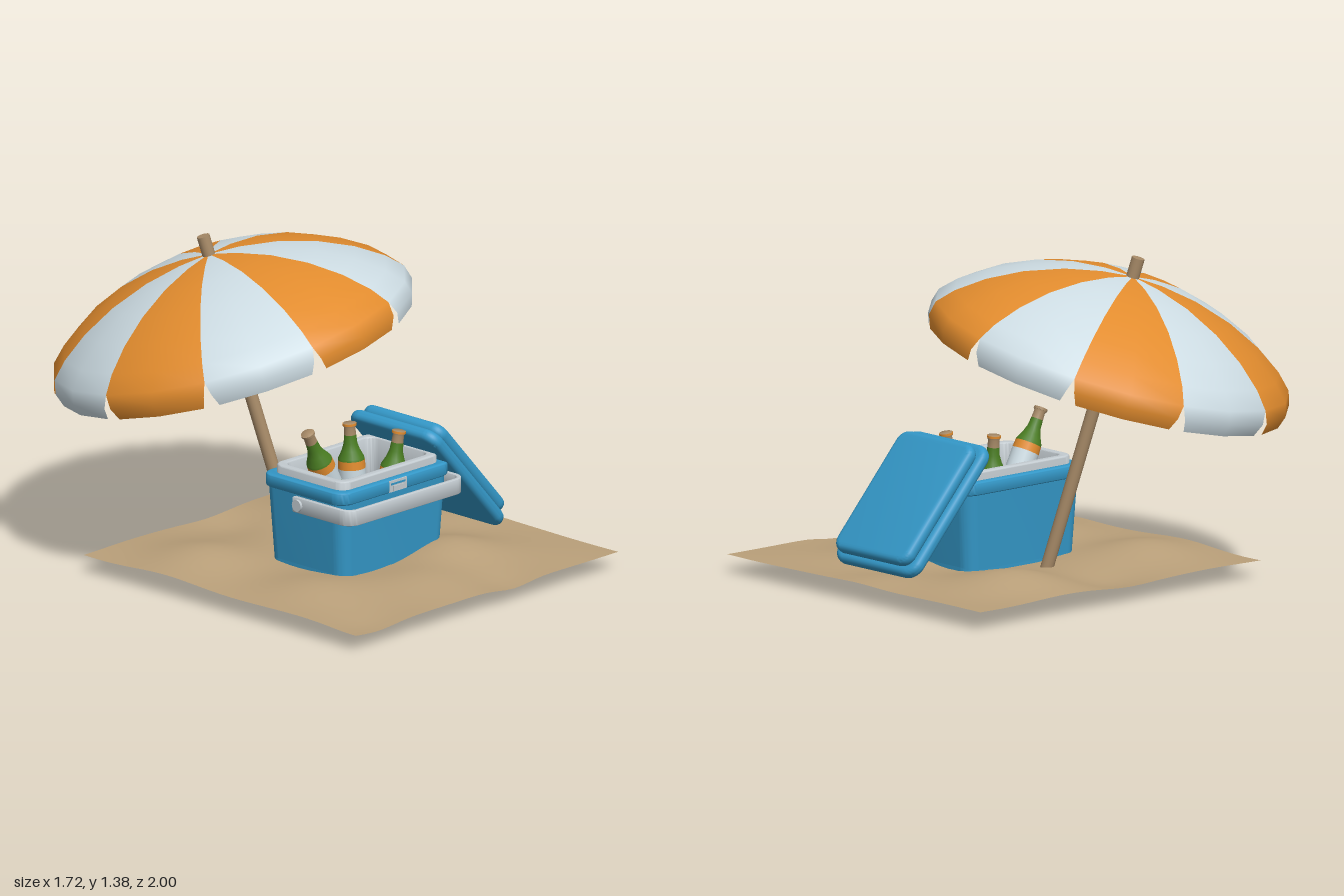
import * as THREE from 'three';
import { toCreasedNormals } from 'three/addons/utils/BufferGeometryUtils.js';

const material = (name, color, side = THREE.FrontSide) => {
  const m = new THREE.MeshStandardMaterial({ color, side });
  m.name = name;
  return m;
};

const V = (x, y, z) => new THREE.Vector3(x, y, z);

function mesh(parent, name, geometry, mat, x = 0, y = 0, z = 0) {
  const m = new THREE.Mesh(geometry, mat);
  m.name = name;
  m.position.set(x, y, z);
  parent.add(m);
  return m;
}

// Rounded rectangle path, used for outlines and holes
function roundedRect(path, w, d, r) {
  const x = w / 2, y = d / 2, q = Math.PI / 2;
  path.moveTo(x, -y + r);
  path.absarc(x - r, y - r, r, 0, q);
  path.absarc(-x + r, y - r, r, q, 2 * q);
  path.absarc(-x + r, -y + r, r, 2 * q, 3 * q);
  path.absarc(x - r, -y + r, r, 3 * q, 4 * q);
  return path;
}

// Upright extrusion of a shape, standing on y = 0, with a rounded edge
function extrudeUp(shape, h, bevel) {
  const g = new THREE.ExtrudeGeometry(shape, {
    depth: h - 2 * bevel, bevelEnabled: bevel > 0, bevelSize: bevel,
    bevelThickness: bevel, bevelOffset: -bevel, bevelSegments: 4, curveSegments: 6,
  });
  g.translate(0, 0, bevel).rotateX(-Math.PI / 2);
  return g;
}

// Rounded slab, optionally hollow, optionally narrower at the bottom
function slab(w, d, h, r, bevel = 0, hole = null, taper = 0) {
  const shape = roundedRect(new THREE.Shape(), w, d, r);
  if (hole) shape.holes.push(roundedRect(new THREE.Path(), hole[0], hole[1], hole[2]));
  const g = extrudeUp(shape, h, bevel);
  const p = g.attributes.position;
  for (let i = 0; i < p.count; i++) {
    const k = taper * (1 - p.getY(i) / h);
    p.setX(i, p.getX(i) * (1 - k));
    p.setZ(i, p.getZ(i) * (1 - k));
  }
  return toCreasedNormals(g, 0.7);
}

export function createModel() {
  const root = new THREE.Group();
  root.name = 'beachPicnic';
  const sand = material('sand', 0xbaa07a, THREE.DoubleSide);
  const wood = material('wood', 0xa88b68);
  const orange = material('orange', 0xe28c2e, THREE.DoubleSide);
  const white = material('paleWhite', 0xcddce3, THREE.DoubleSide);
  const blue = material('blue', 0x3498c8);
  const grey = material('lightGrey', 0xc3cbd0);
  const green = material('bottleGreen', 0x4a7d22);

  // Sand patch with soft mounds: x, z, height, spread
  const mounds = [
    [-0.4, -0.12, 0.06, 0.22], [0.38, 0.53, 0.06, 0.2], [0.42, -0.22, 0.065, 0.22],
    [-0.38, 0.5, 0.035, 0.22], [0.04, 0.7, 0.028, 0.2], [0.08, 0.2, -0.022, 0.2],
    [0.05, -0.4, -0.02, 0.15], [0.25, 0.98, -0.02, 0.12], [-0.55, 0.95, -0.02, 0.15],
    [0.72, 0.2, 0.015, 0.15],
  ];
  const ground = new THREE.PlaneGeometry(1.54, 1.54, 28, 28);
  ground.rotateX(-Math.PI / 2).translate(0.09, 0, 0.23);
  const gp = ground.attributes.position;
  for (let i = 0; i < gp.count; i++) {
    const x = gp.getX(i), z = gp.getZ(i);
    let y = 0.076 + 0.005 * Math.sin(9 * x + 2) * Math.cos(8 * z);
    for (const [mx, mz, h, s] of mounds)
      y += h * Math.exp(-((x - mx) ** 2 + (z - mz) ** 2) / (s * s));
    gp.setY(i, y);
  }
  ground.computeVertexNormals();
  mesh(root, 'sand', ground, sand);

  // Parasol, built upright and then tilted about the pole foot
  const parasol = new THREE.Group();
  parasol.name = 'parasol';
  parasol.position.set(0.072, 0.008, -0.044);
  parasol.quaternion.setFromUnitVectors(V(0, 1, 0), V(-0.26, 1.35, -0.29).normalize());
  root.add(parasol);
  mesh(parasol, 'pole', new THREE.CylinderGeometry(0.027, 0.027, 1.42, 16), wood, 0, 0.71, 0);

  // Ten canopy panels; below the rim each flap narrows, leaving small notches
  const profile = [
    [0.75, 0.927], [0.767, 0.98], [0.752, 1.035], [0.69, 1.1], [0.58, 1.178], [0.44, 1.248],
    [0.28, 1.301], [0.13, 1.329], [0.012, 1.338],
  ].map(([r, h]) => new THREE.Vector2(r, h));
  const step = Math.PI / 5;
  for (let k = 0; k < 10; k++) {
    const start = (k - 0.5) * step;
    const panel = new THREE.LatheGeometry(profile, 2, start, step);
    const p = panel.attributes.position;
    for (const [row, shift] of [[0, 0.045], [1, 0.022]]) {
      for (const [col, sign] of [[0, 1], [2, -1]]) {
        const a = start + col * step / 2 + sign * shift;
        const i = col * profile.length + row;
        p.setX(i, profile[row].x * Math.sin(a));
        p.setZ(i, profile[row].x * Math.cos(a));
      }
    }
    mesh(parasol, 'canopyPanel', panel, k % 2 ? white : orange);
  }

  // Cooler: tapered tub, upper band, pale liner and floor
  const cooler = new THREE.Group();
  cooler.name = 'cooler';
  cooler.position.set(0.09, 0, 0.262);
  root.add(cooler);
  const opening = [0.56, 0.37, 0.04];
  mesh(cooler, 'coolerBase', slab(0.595, 0.41, 0.05, 0.05), blue, 0, 0.07, 0);
  mesh(cooler, 'coolerTub', slab(0.635, 0.45, 0.32, 0.06, 0, opening, 0.065), blue, 0, 0.085, 0);
  mesh(cooler, 'coolerBand', slab(0.655, 0.465, 0.055, 0.06, 0.01, opening), blue, 0, 0.4, 0);
  mesh(cooler, 'liner', slab(0.58, 0.4, 0.25, 0.05, 0.008, [0.51, 0.33, 0.04]), grey, 0, 0.24, 0);
  mesh(cooler, 'linerFloor', slab(0.54, 0.36, 0.02, 0.04), grey, 0, 0.28, 0);

  // Carrying handle swung forward, with side pivots
  const u = new THREE.Shape();
  const X = 0.345, Z = -0.293, R = 0.06, T = 0.02;
  u.moveTo(-X, 0.03);
  u.lineTo(-X, Z + R);
  u.absarc(-X + R, Z + R, R, Math.PI, Math.PI * 1.5);
  u.absarc(X - R, Z + R, R, Math.PI * 1.5, Math.PI * 2);
  u.lineTo(X, 0.03);
  u.lineTo(X - T, 0.03);
  u.absarc(X - R, Z + R, R - T, 0, -Math.PI / 2, true);
  u.absarc(-X + R, Z + R, R - T, Math.PI * 1.5, Math.PI, true);
  u.lineTo(-X + T, 0.03);
  mesh(cooler, 'handle', toCreasedNormals(extrudeUp(u, 0.066, 0.004), 0.7), grey, 0, 0.332, 0);
  for (const s of [-1, 1]) {
    const pivot = mesh(cooler, 'handlePivot', new THREE.CylinderGeometry(0.025, 0.025, 0.04, 16), grey, s * 0.336, 0.366, 0);
    pivot.rotation.z = Math.PI / 2;
  }

  // Front latch
  mesh(cooler, 'latchPlate', new THREE.BoxGeometry(0.1, 0.048, 0.012), grey, 0, 0.428, 0.229);
  mesh(cooler, 'latchInset', new THREE.BoxGeometry(0.084, 0.008, 0.004), blue, 0, 0.438, 0.2345);
  mesh(cooler, 'latchTab', new THREE.BoxGeometry(0.06, 0.022, 0.008), grey, 0, 0.418, 0.235);

  // Lid leaning against the cooler's side
  const lid = new THREE.Group();
  lid.name = 'lid';
  lid.position.set(0.515, 0.352, 0.252);
  lid.rotation.z = -0.84;
  root.add(lid);
  mesh(lid, 'lidRim', slab(0.645, 0.495, 0.054, 0.065, 0.024), blue, 0, -0.028, 0);
  mesh(lid, 'lidTop', slab(0.59, 0.45, 0.056, 0.055, 0.024), blue, 0.003, 0.02, 0);

  // Bottles, measured downwards from the mouth: material and profile
  const bands = [
    ['bottleCap', wood, [[0, 0], [0.027, 0], [0.027, 0.014], [0.023, 0.018], [0.025, 0.05]]],
    ['bottleNeck', green, [[0.025, 0.05], [0.028, 0.085], [0.038, 0.115], [0.053, 0.145], [0.055, 0.155]]],
    ['labelTop', orange, [[0.055, 0.155], [0.057, 0.19]]],
    ['label', white, [[0.057, 0.19], [0.057, 0.28]]],
    ['bottleBottom', green, [[0.057, 0.28], [0.055, 0.34], [0.045, 0.35], [0, 0.35]]],
  ];
  const bottles = [
    [-0.187, 0.657, 0.25, 0.47, 0], [0.153, 0.605, 0.16, 0.02, -0.05], [0.237, 0.597, 0.36, -0.15, 0.05],
  ];
  for (const [x, y, z, lean, tip] of bottles) {
    const bottle = new THREE.Group();
    bottle.name = 'bottle';
    bottle.position.set(x, y, z);
    bottle.rotation.set(tip, 0, lean);
    root.add(bottle);
    for (const [name, mat, pts] of bands) {
      const up = pts.map(([r, d]) => new THREE.Vector2(r, -d)).reverse();
      mesh(bottle, name, new THREE.LatheGeometry(up, 18), mat);
    }
    mesh(bottle, 'capRim', new THREE.CylinderGeometry(0.029, 0.029, 0.009, 18), x > 0 ? orange : wood, 0, -0.006, 0);
  }
  return root;
}
